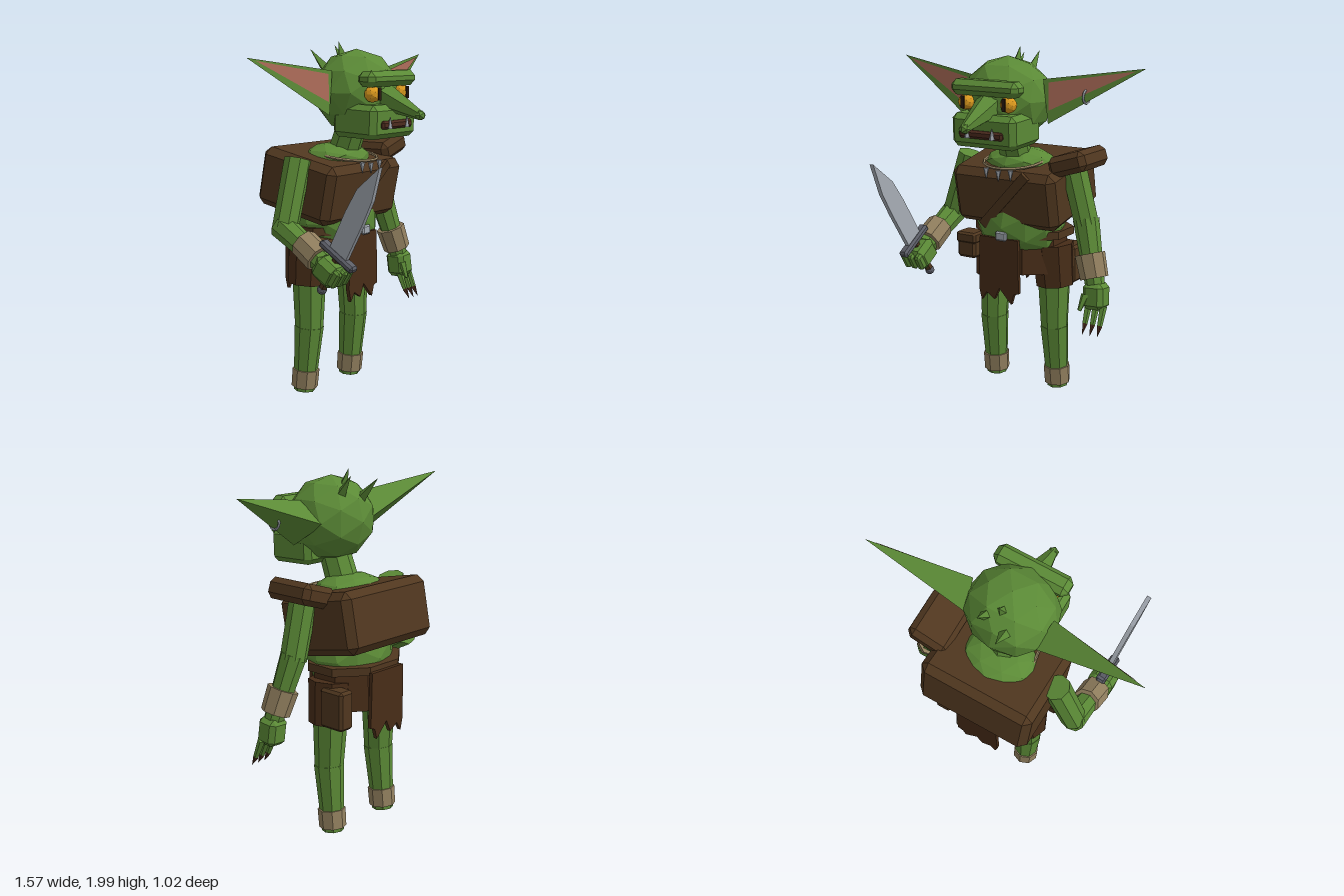
import * as THREE from 'three';
import { ConvexGeometry } from 'three/addons/geometries/ConvexGeometry.js';

const V = (x, y, z) => new THREE.Vector3(x, y, z);

function paint(name, color, side = THREE.FrontSide) {
  const m = new THREE.MeshStandardMaterial({ color, flatShading: true, side });
  m.name = name;
  return m;
}

export function createModel() {
  const skin = paint('green skin', 0x5b8a36);
  const leather = paint('leather', 0x50371f);
  const cloth = paint('dark hide', 0x482d18);
  const pink = paint('inner ear', 0xab6b58, THREE.DoubleSide);
  const wrap = paint('linen wrap', 0x92805f);
  const amber = paint('amber eye', 0xdc9a1e);
  const black = paint('pupil', 0x2a1a10);
  const steel = paint('steel', 0xa3a9b1);
  const iron = paint('iron', 0x5c5e67);
  const claw = paint('claw', 0x4c2b1e);

  const model = new THREE.Group();
  model.name = 'goblin';

  const add = (name, geo, mat, pos = [0, 0, 0], rot = [0, 0, 0], parent = model) => {
    const mesh = new THREE.Mesh(geo, mat);
    mesh.name = name;
    mesh.position.set(...pos);
    mesh.rotation.set(...rot);
    parent.add(mesh);
    return mesh;
  };

  // Box with chamfered edges
  const block = (w, h, d, c) => {
    const pts = [];
    for (const x of [-1, 1]) for (const y of [-1, 1]) for (const z of [-1, 1]) {
      const [a, b, e] = [w / 2, h / 2, d / 2];
      pts.push(V(x * a, y * (b - c), z * (e - c)), V(x * (a - c), y * b, z * (e - c)), V(x * (a - c), y * (b - c), z * e));
    }
    return new ConvexGeometry(pts);
  };

  // Faceted ellipsoid
  const blob = (rx, ry, rz, detail = 1) => new THREE.IcosahedronGeometry(1, detail).scale(rx, ry, rz);

  // Tapered prism running from a to b
  const limb = (name, a, b, ra, rb, mat, sides = 8) => {
    const p = V(...a), q = V(...b);
    const dir = q.clone().sub(p);
    const mesh = add(name, new THREE.CylinderGeometry(rb, ra, dir.length(), sides), mat);
    mesh.position.copy(p).add(q).multiplyScalar(0.5);
    mesh.quaternion.setFromUnitVectors(V(0, 1, 0), dir.normalize());
    return mesh;
  };

  // Head
  add('head', blob(0.255, 0.235, 0.235), skin, [0, 1.72, -0.04]);
  add('jaw', block(0.41, 0.185, 0.29, 0.03), skin, [0, 1.57, 0.085], [0.04, 0, 0]);
  add('brow', block(0.43, 0.085, 0.115, 0.03), skin, [0, 1.797, 0.17]);
  limb('nose', [0, 1.7, 0.15], [0, 1.605, 0.385], 0.08, 0.027, skin, 6);
  add('noseTip', blob(0.032, 0.03, 0.032, 0), skin, [0, 1.604, 0.388]);
  add('mouth', block(0.28, 0.045, 0.03, 0.012), claw, [0, 1.55, 0.232]);
  for (const s of [-1, 1]) {
    add('eye', blob(0.047, 0.045, 0.045), amber, [s * 0.135, 1.715, 0.17]);
    add('pupil', new THREE.BoxGeometry(0.02, 0.068, 0.009), black, [s * 0.132, 1.718, 0.214]);
    limb('tusk', [s * 0.08, 1.532, 0.245], [s * 0.08, 1.592, 0.25], 0.018, 0.001, steel, 5);
  }

  // Head spikes
  const spikes = [
    [[0, 1.89, -0.13], [0, 1.995, -0.165]],
    [[0.065, 1.86, -0.17], [0.075, 1.97, -0.25]],
    [[-0.055, 1.83, -0.2], [-0.065, 1.95, -0.315]],
  ];
  for (const [a, b] of spikes) limb('headSpike', a, b, 0.034, 0.001, skin, 4);

  // Ears: a solid wedge with a pink face laid on the front
  for (const s of [-1, 1]) {
    const top = V(s * 0.23, 1.84, -0.03), low = V(s * 0.268, 1.6, -0.02);
    const back = V(s * 0.2, 1.72, -0.17), tip = V(s * 0.785, 1.915, -0.144);
    add('ear', new ConvexGeometry([top, low, back, tip]), skin);
    const at = (u, v) => top.clone().lerp(low, u).lerp(tip, v).add(V(s * 0.002, 0, 0.005));
    add('innerEar', new THREE.BufferGeometry().setFromPoints([at(0.09, 0.05), at(0.72, 0.02), at(0.35, 0.9)]), pink)
      .geometry.computeVertexNormals();
  }
  add('earring', new THREE.TorusGeometry(0.037, 0.007, 5, 12), steel, [0.47, 1.755, -0.08], [0, Math.PI / 2, 0]);

  // Neck and body
  limb('neck', [0, 1.3, -0.16], [0, 1.58, -0.05], 0.092, 0.085, skin);
  add('upperBody', blob(0.27, 0.22, 0.2), skin, [0, 1.2, -0.19]);
  add('belly', blob(0.27, 0.23, 0.22), skin, [0, 0.99, -0.185]);
  add('vest', block(0.67, 0.335, 0.52, 0.04), leather, [0, 1.205, -0.23], [0.2, 0, 0]);
  add('yoke', blob(0.21, 0.09, 0.18), skin, [0, 1.345, -0.18]);
  add('strap', new THREE.BoxGeometry(0.055, 0.46, 0.02), leather, [0.01, 1.15, 0.022], [0.2, 0, -0.77]);
  add('shoulderPad', block(0.235, 0.115, 0.305, 0.03), leather, [0.373, 1.382, -0.175], [0, 0, 0.3]);

  // Necklace with tooth pendants
  add('necklace', new THREE.TorusGeometry(0.175, 0.009, 5, 18), wrap, [0, 1.365, -0.11], [Math.PI / 2 + 0.14, 0, 0]);
  for (const x of [-0.08, 0, 0.08]) {
    const y = 1.335 - (x ? 0 : 0.008);
    limb('tooth', [x, y, 0.062], [x, y - 0.06, 0.062], 0.017, 0.001, steel, 5);
  }

  // Hips, belt and hanging hides
  const ring = (r1, r2, h) => new THREE.CylinderGeometry(r1, r2, h, 8).rotateY(Math.PI / 8).scale(1.08, 1, 0.84);
  add('hips', ring(0.24, 0.255, 0.22), cloth, [0, 0.83, -0.22]);
  add('belt', ring(0.28, 0.28, 0.045), leather, [0, 0.95, -0.22]);
  add('buckle', block(0.07, 0.052, 0.03, 0.008), steel, [-0.004, 0.945, 0.025]);
  const rag = new THREE.Shape([
    [-0.15, 0.93], [-0.155, 0.62], [-0.138, 0.55], [-0.105, 0.6], [-0.05, 0.565], [-0.018, 0.635],
    [0.015, 0.6], [0.062, 0.55], [0.08, 0.61], [0.112, 0.62], [0.105, 0.93],
  ].map(([x, y]) => new THREE.Vector2(x, y)));
  const ragGeo = new THREE.ExtrudeGeometry(rag, { depth: 0.022, bevelEnabled: false });
  add('frontRag', ragGeo, cloth, [0, 0, 0.003]);
  add('backRag', ragGeo, cloth, [0.02, 0.015, -0.46]);
  add('frontPouch', block(0.125, 0.13, 0.12, 0.015), leather, [-0.285, 0.83, -0.09]);
  add('pouchFlap', block(0.135, 0.065, 0.13, 0.012), leather, [-0.285, 0.885, -0.088]);
  add('sidePouch', block(0.1, 0.22, 0.16, 0.015), leather, [0.265, 0.755, -0.33]);

  // Legs
  for (const s of [-1, 1]) {
    limb('shortsLeg', [s * 0.21, 0.637, -0.225], [s * 0.19, 0.88, -0.22], 0.113, 0.125, cloth);
    limb('thigh', [s * 0.208, 0.37, -0.222], [s * 0.2, 0.7, -0.225], 0.08, 0.098, skin);
    limb('shin', [s * 0.213, 0.008, -0.258], [s * 0.208, 0.39, -0.222], 0.062, 0.084, skin);
    limb('ankleWrap', [s * 0.213, 0.03, -0.256], [s * 0.212, 0.135, -0.245], 0.076, 0.078, wrap);
  }

  // Left arm, hanging
  limb('upperArm', [0.35, 1.35, -0.17], [0.435, 1.03, -0.175], 0.076, 0.073, skin);
  limb('forearm', [0.43, 1.06, -0.175], [0.525, 0.71, -0.115], 0.074, 0.055, skin);
  limb('wristWrap', [0.477, 0.875, -0.14], [0.518, 0.745, -0.12], 0.086, 0.08, wrap);
  add('hand', block(0.125, 0.15, 0.125, 0.025), skin, [0.535, 0.648, -0.112], [-0.1, 0, 0.05]);
  for (const x of [0.5, 0.547, 0.592]) {
    limb('finger', [x, 0.6, -0.09], [x + 0.002, 0.495, -0.045], 0.022, 0.015, skin, 5);
    limb('fingerClaw', [x + 0.002, 0.497, -0.046], [x + 0.004, 0.443, -0.016], 0.016, 0.001, claw, 5);
  }
  limb('thumb', [0.495, 0.66, -0.06], [0.48, 0.575, -0.02], 0.024, 0.012, skin, 5);

  // Right arm, bent forward
  limb('upperArm', [-0.345, 1.36, -0.18], [-0.465, 0.99, -0.175], 0.076, 0.073, skin);
  limb('forearm', [-0.465, 1.01, -0.2], [-0.485, 0.84, 0.1], 0.074, 0.058, skin);
  limb('wristWrap', [-0.475, 0.935, -0.04], [-0.482, 0.862, 0.075], 0.08, 0.083, wrap);
  add('hand', block(0.15, 0.135, 0.16, 0.03), skin, [-0.483, 0.805, 0.15], [0.56, 0, 0.05]);
  for (const x of [-0.53, -0.483, -0.436]) {
    add('grippingFinger', block(0.042, 0.1, 0.05, 0.012), skin, [x, 0.775, 0.215], [0.56, 0, 0]);
  }

  // Sword
  const sword = new THREE.Group();
  sword.name = 'sword';
  sword.position.set(-0.487, 0.89, 0.205);
  sword.rotation.set(0.558, 0, 0.08);
  model.add(sword);
  const blade = new THREE.Shape([[-0.062, 0.01], [0.06, 0.01], [0.055, 0.25], [0.045, 0.4], [0, 0.58], [-0.064, 0.4], [-0.07, 0.25]]
    .map(([x, y]) => new THREE.Vector2(x, y)));
  const bladeGeo = new THREE.ExtrudeGeometry(blade, { depth: 0.026, bevelEnabled: false });
  add('blade', bladeGeo.translate(0, 0, -0.013).rotateY(-Math.PI / 2), steel, [0, 0, 0], [0, 0, 0], sword);
  add('guard', block(0.058, 0.042, 0.25, 0.012), iron, [0, 0, 0], [0, 0, 0], sword);
  add('grip', new THREE.CylinderGeometry(0.024, 0.024, 0.24, 6), leather, [0, -0.11, 0], [0, 0, 0], sword);
  add('pommel', blob(0.028, 0.028, 0.028), iron, [0, -0.235, 0], [0, 0, 0], sword);

  return model;
}
